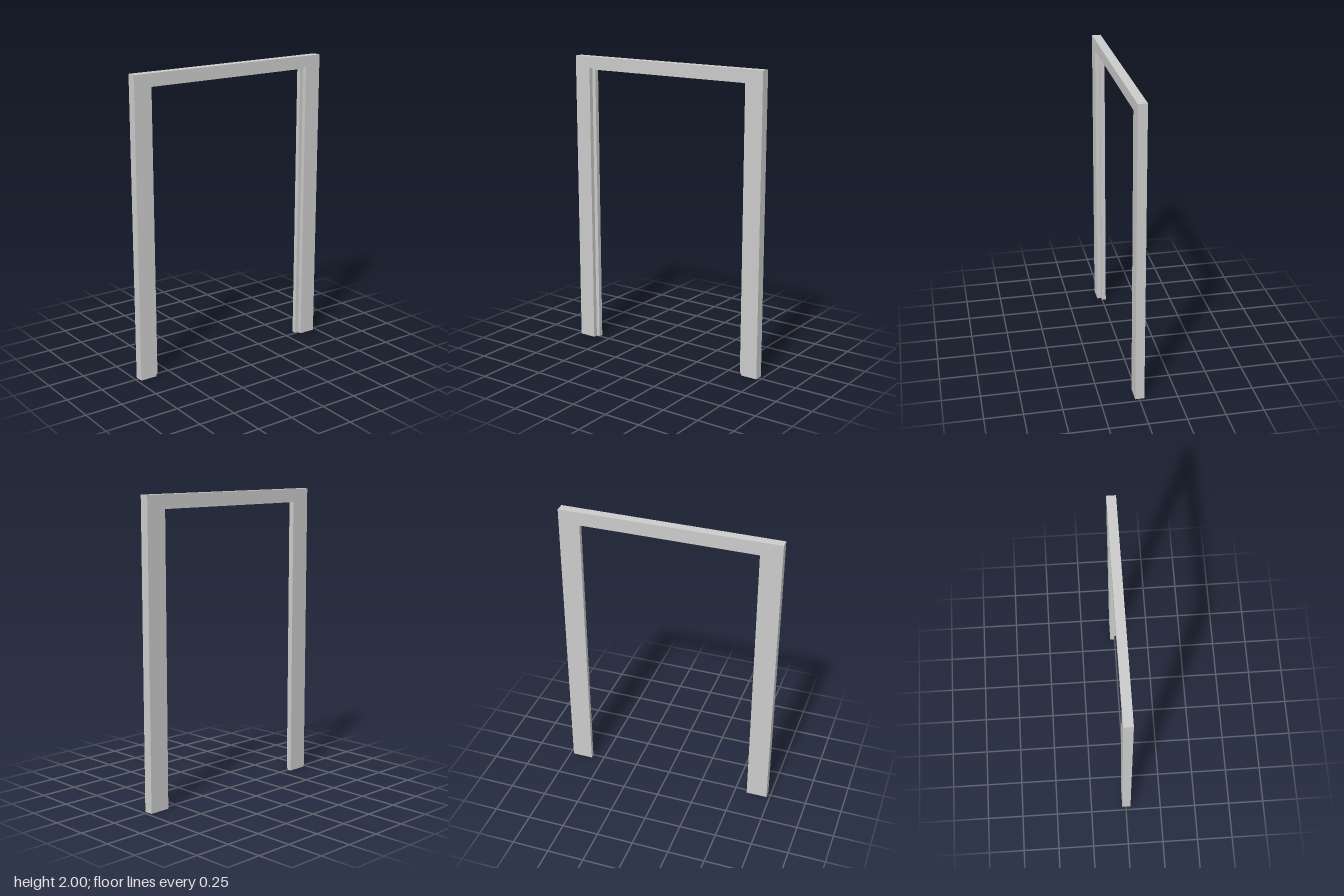
import * as THREE from 'three';

// Rebated cross-section: half width and height of the frame line, and its depth z
const H = 0.03;
const PROFILE = [
  [0.727, 2.0, -H], // outer back
  [0.727, 2.0, H], // outer front
  [0.611, 1.925, H], // front opening edge
  [0.611, 1.925, 0], // rebate corner
  [0.585, 1.91, 0], // lip front
  [0.585, 1.91, -H], // lip back
];

// Stations along the frame: left foot, left mitre, right mitre, right foot
const STATIONS = [[-1, 0], [-1, 1], [1, 1], [1, 0]];

function frameGeometry() {
  const rings = STATIONS.map(([sx, sy]) => PROFILE.map(([x, y, z]) => [sx * x, sy * y, z]));
  const positions = [];
  const quad = (a, b, c, d) => positions.push(...a, ...b, ...c, ...a, ...c, ...d);

  // Jambs and header, mitred at the corners
  for (let s = 0; s < 3; s++) {
    for (let i = 0; i < 6; i++) {
      const j = (i + 1) % 6;
      quad(rings[s][i], rings[s][j], rings[s + 1][j], rings[s + 1][i]);
    }
  }

  // Feet
  const [p, , , q] = rings;
  quad(p[3], p[2], p[1], p[0]);
  quad(p[5], p[4], p[3], p[0]);
  quad(q[0], q[1], q[2], q[3]);
  quad(q[0], q[3], q[4], q[5]);

  const geometry = new THREE.BufferGeometry();
  geometry.setAttribute('position', new THREE.Float32BufferAttribute(positions, 3));
  geometry.computeVertexNormals();
  return geometry;
}

export function createModel() {
  const group = new THREE.Group();
  group.name = 'doorway';
  const frame = new THREE.Mesh(frameGeometry(), new THREE.MeshStandardMaterial({ color: 0xcccccc }));
  frame.name = 'doorFrame';
  frame.rotation.y = 0.005; // the frame stands very slightly turned
  group.add(frame);
  return group;
}
